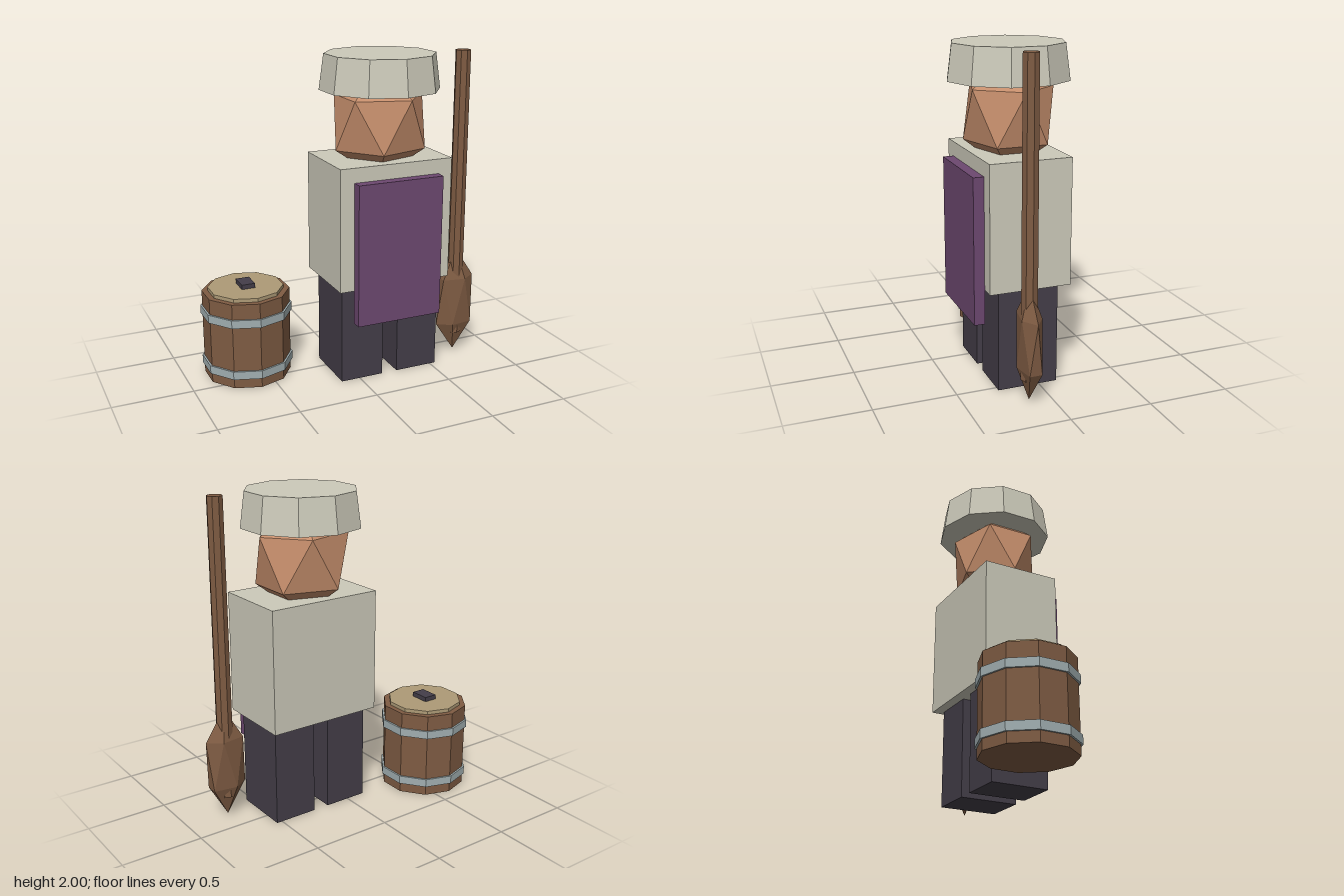
import * as THREE from 'three';

const mat = (name, color) => {
  const m = new THREE.MeshStandardMaterial({ color });
  m.name = name;
  return m;
};

export function createModel() {
  const cream = mat('cream cloth', 0xcccaba);
  const skin = mat('skin', 0xc48d6b);
  const purple = mat('purple apron', 0x6d4870);
  const dark = mat('dark cloth', 0x443e49);
  const wood = mat('brown wood', 0x7f5c43);
  const pale = mat('pale wood', 0xae9b77);
  const steel = mat('steel', 0xa1afb1);

  const model = new THREE.Group();
  model.name = 'workerWithBarrelAndPaddle';

  // Faceted mesh: one normal per face
  const add = (parent, name, geometry, material, x, y, z) => {
    const g = geometry.index ? geometry.toNonIndexed() : geometry;
    g.computeVertexNormals();
    const mesh = new THREE.Mesh(g, material);
    mesh.name = name;
    mesh.position.set(x, y, z);
    parent.add(mesh);
    return mesh;
  };
  const group = (name) => {
    const g = new THREE.Group();
    g.name = name;
    model.add(g);
    return g;
  };
  const box = (w, h, d) => new THREE.BoxGeometry(w, h, d);
  const drum = (top, bottom, h, sides = 10) => new THREE.CylinderGeometry(top, bottom, h, sides);
  // Icosahedron standing on a corner, stretched along each axis
  const gem = (rx, ry, rz) =>
    new THREE.IcosahedronGeometry(1, 0)
      .rotateZ(-Math.atan(2 / (1 + Math.sqrt(5))))
      .scale(rx, ry, rz);

  // Figure
  const figure = group('figure');
  const cx = 0.207, cz = 0.069;
  add(figure, 'torso', box(0.735, 0.76, 0.497), cream, cx, 1.0, cz);
  add(figure, 'apron', box(0.555, 0.88, 0.065), purple, cx, 0.85, 0.349);
  for (const [name, side] of [['rightLeg', -1], ['leftLeg', 1]]) {
    add(figure, name, box(0.278, 0.62, 0.37), dark, cx + side * 0.19, 0.31, cz);
  }
  add(figure, 'head', gem(0.322, 0.351, 0.291), skin, cx, 1.588, cz);
  add(figure, 'hat', drum(0.338, 0.367, 0.215), cream, cx, 1.8925, cz);

  // Paddle: long shaft sunk into a flattened blade
  const paddle = group('paddle');
  add(paddle, 'shaft', drum(0.048, 0.051, 1.85, 8), wood, 0.734, 1.075, 0.143);
  add(paddle, 'blade', gem(0.145, 0.351, 0.0715), wood, 0.734, 0.37, 0.143);

  // Barrel with two hoops, lid and handle
  const barrel = group('barrel');
  const bx = -0.6, bz = -0.155;
  add(barrel, 'barrelBody', drum(0.273, 0.273, 0.55), wood, bx, 0.275, bz);
  for (const [name, y] of [['lowerHoop', 0.088], ['upperHoop', 0.427]]) {
    add(barrel, name, drum(0.285, 0.285, 0.052), steel, bx, y, bz);
  }
  add(barrel, 'lid', drum(0.236, 0.236, 0.04), pale, bx, 0.553, bz);
  add(barrel, 'lidHandle', box(0.086, 0.04, 0.124), dark, bx, 0.582, bz);

  return model;
}
